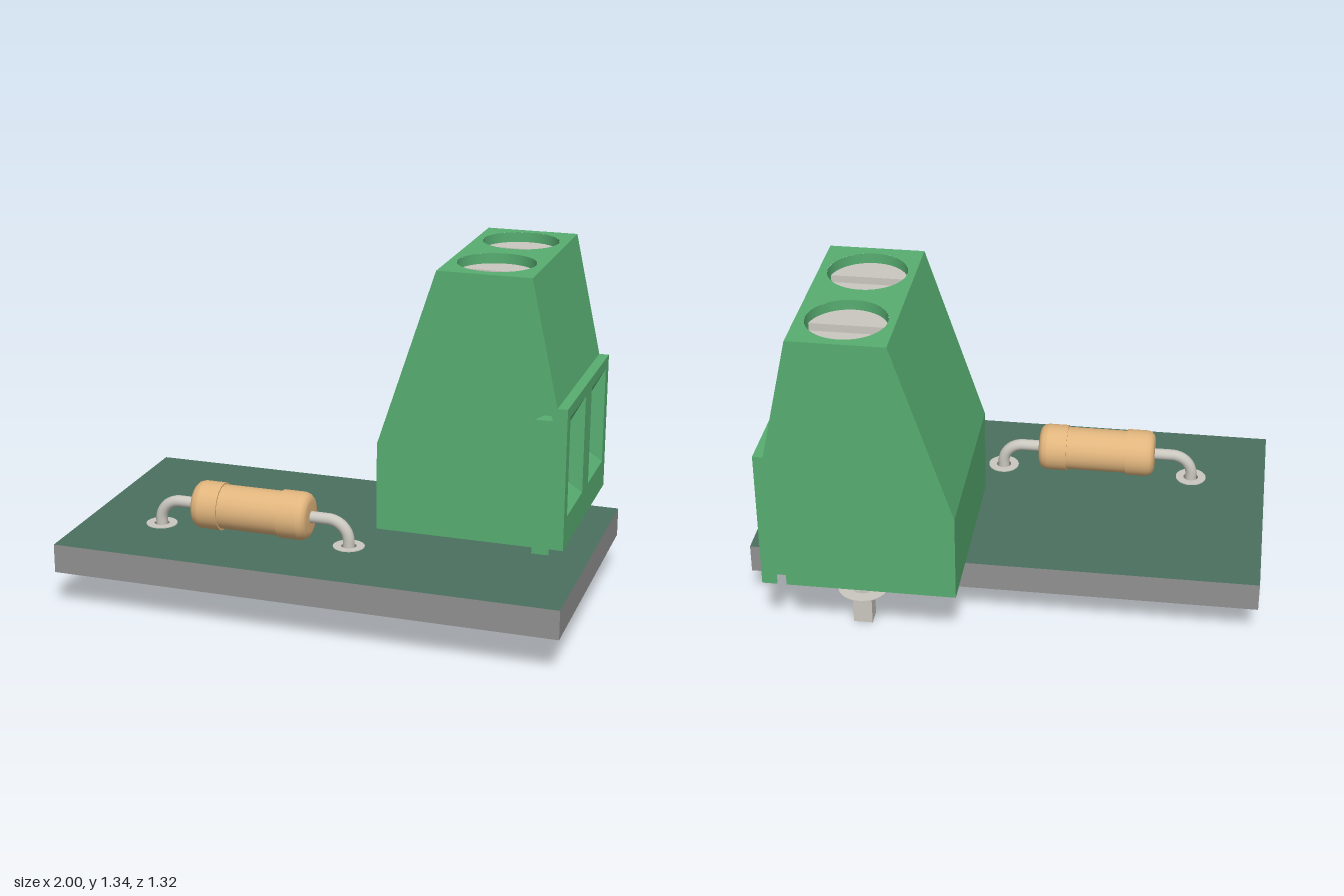
import * as THREE from 'three';

const mat = (name, color) => {
  const m = new THREE.MeshStandardMaterial({ color });
  m.name = name;
  return m;
};

export function createModel() {
  const model = new THREE.Group();
  const boardGreen = mat('board green', 0x4a7060);
  const boardGrey = mat('board edge grey', 0x909090);
  const green = mat('terminal green', 0x57ad71);
  const metal = mat('metal', 0xc9c7be);
  const tan = mat('resistor tan', 0xe1b57d);

  const add = (name, geometry, material, parent = model) => {
    const m = new THREE.Mesh(geometry, material);
    m.name = name;
    parent.add(m);
    return m;
  };
  const shapeOf = (pts, holes = []) => {
    const s = new THREE.Shape(pts.map(p => new THREE.Vector2(p[0], p[1])));
    s.holes.push(...holes);
    return s;
  };
  const rect = (u0, u1, v0, v1) => [[u0, v0], [u1, v0], [u1, v1], [u0, v1]];
  const circle = (u, v, r) => new THREE.Path().absarc(u, v, r, 0, Math.PI * 2, true);
  // Solid with a plan outline (u = x, v = -z), rising from y
  const slab = (shape, y, height) => new THREE.ExtrudeGeometry(shape,
    { depth: height, bevelEnabled: false, curveSegments: 32 }).rotateX(-Math.PI / 2).translate(0, y, 0);
  // Flat four-cornered faces
  const quads = list => {
    const g = new THREE.BufferGeometry();
    const v = list.flatMap(([a, b, c, d]) => [a, b, c, a, c, d].flat());
    g.setAttribute('position', new THREE.Float32BufferAttribute(v, 3));
    g.computeVertexNormals();
    return g;
  };
  // Round hole wall, facing its axis
  const holeWall = (r, y0, y1) => new THREE.LatheGeometry(
    [new THREE.Vector2(r, y1), new THREE.Vector2(r, y0)], 40);

  const resX = -0.3025, resZ = 0.315, resY = 0.368, leadX = 0.3925;
  const pinX = 0.54, pinZ = [-0.075, -0.465];

  // Circuit board
  const boardShape = shapeOf(rect(-1, 1, -0.66, 0.42), [
    circle(resX - leadX, -resZ, 0.03), circle(resX + leadX, -resZ, 0.03), circle(pinX, -pinZ[0], 0.05)]);
  add('board', slab(boardShape, 0.15, 0.115), [boardGreen, boardGrey]);
  add('outerHoleWall', holeWall(0.05, 0.15, 0.265), boardGrey).position.set(pinX, 0, pinZ[1]);

  // Solder pads on both faces of the board
  const pads = (x, z, r, hole, square) => {
    const s = square ? shapeOf(rect(x - r, x + r, -z - r, -z + r)) : new THREE.Shape().absarc(x, -z, r, 0, Math.PI * 2);
    s.holes.push(circle(x, -z, hole));
    add('topPad', slab(s, 0.265, 0.003), metal);
    add('bottomPad', slab(s, 0.147, 0.003), metal);
  };
  pads(pinX, pinZ[0], 0.1, 0.05, true);
  pads(pinX, pinZ[1], 0.1, 0.05, false);

  // Resistor body: thicker rounded ends around a slimmer middle
  const half = [[0, 0.24], [0.06, 0.24], [0.078, 0.235], [0.09, 0.223], [0.095, 0.205],
    [0.095, 0.205], [0.095, 0.123], [0.095, 0.123], [0.088, 0.123], [0.088, 0.123]];
  const profile = [...half.map(([r, t]) => [r, -t]), ...half.slice().reverse()];
  add('resistorBody', new THREE.LatheGeometry(profile.map(p => new THREE.Vector2(...p)), 40)
    .rotateZ(Math.PI / 2), tan).position.set(resX, resY, resZ);

  // Bent resistor leads
  for (const s of [-1, 1]) {
    const P = (d, y) => new THREE.Vector3(resX + s * d, y, resZ);
    const path = new THREE.CurvePath();
    path.add(new THREE.LineCurve3(P(leadX, 0.04), P(leadX, 0.285)));
    path.add(new THREE.CubicBezierCurve3(P(leadX, 0.285), P(leadX, 0.331), P(leadX - 0.037, resY), P(leadX - 0.083, resY)));
    path.add(new THREE.LineCurve3(P(leadX - 0.083, resY), P(0.22, resY)));
    add('resistorLead', new THREE.TubeGeometry(path, 48, 0.023, 16), metal);
    add('leadTip', new THREE.CircleGeometry(0.023, 16).rotateX(Math.PI / 2), metal)
      .position.set(resX + s * leadX, 0.04, resZ);
    pads(resX + s * leadX, resZ, 0.062, 0.03, false);
  }

  // Terminal block housing
  const block = new THREE.Group();
  block.name = 'terminalBlock';
  model.add(block);
  const y0 = 0.272, zB = -0.66, zF = 0.12, xR = 0.89, yT = 1.335;
  const outline = [[0.14, y0], [xR, y0], [xR, 0.84], [0.85, 0.84], [0.74, yT], [0.37, yT], [0.14, 0.625]];
  add('housingFront', new THREE.ShapeGeometry(shapeOf(outline)).translate(0, 0, zF), green, block);

  // Plain walls: every outline edge except bottom, wire side and top
  add('housingWalls', quads([2, 3, 5, 6].map(i => {
    const a = outline[i], b = outline[(i + 1) % 7];
    return [[...a, zF], [...a, zB], [...b, zB], [...b, zF]];
  })), green, block);

  // Back and bottom, notched by the dovetail groove
  const groove = [[0.795, zB], [0.775, -0.6], [0.85, -0.6], [0.83, zB]], gTop = 0.815;
  const notched = [outline[0], [0.795, y0], [0.795, gTop], [0.83, gTop], [0.83, y0], ...outline.slice(1)];
  add('housingBack', new THREE.ShapeGeometry(shapeOf(notched.map(([x, y]) => [-x, y])))
    .rotateY(Math.PI).translate(0, 0, zB), green, block);
  add('housingBottom', new THREE.ShapeGeometry(shapeOf([[0.14, zB], ...groove, [xR, zB], [xR, zF], [0.14, zF]]))
    .rotateX(Math.PI / 2).translate(0, y0, 0), green, block);
  const at = (p, y) => [p[0], y, p[1]];
  add('dovetailGroove', quads([
    ...[0, 1, 2].map(i => [at(groove[i], y0), at(groove[i], gTop), at(groove[i + 1], gTop), at(groove[i + 1], y0)]),
    [3, 2, 1, 0].map(i => at(groove[i], gTop)),
  ]), green, block);

  // Dovetail tab on the front
  add('dovetailTab', slab(shapeOf([[0.8, -zF], [0.78, -0.18], [0.847, -0.18], [0.827, -zF]]), y0, 0.81 - y0), green, block);

  // Wire side and top, with openings
  const centres = [-0.0725, -0.4645], screwX = 0.553, screwZ = [-0.08, -0.47], screwR = 0.153;
  const mouth = c => rect(-c - 0.14, -c + 0.14, 0.395, 0.795);
  const throat = c => rect(-c - 0.108, -c + 0.108, 0.456, 0.664);
  const pathOf = pts => new THREE.Path(pts.map(p => new THREE.Vector2(...p)));
  add('housingWireSide', new THREE.ShapeGeometry(shapeOf(rect(-zF, -zB, y0, 0.84), centres.map(c => pathOf(mouth(c)))))
    .rotateY(Math.PI / 2).translate(xR, 0, 0), green, block);
  add('housingTop', new THREE.ShapeGeometry(shapeOf(rect(0.37, 0.74, -zF, -zB), screwZ.map(z => circle(screwX, -z, screwR))), 32)
    .rotateX(-Math.PI / 2).translate(0, yT, 0), green, block);

  // Funnel openings with a metal clamp inside
  for (const c of centres) {
    const ring = (pts, x) => pts.map(([u, v]) => [x, v, -u]);
    const rings = [ring(mouth(c), xR), ring(throat(c), 0.82), ring(throat(c), 0.55)];
    const faces = [rings[2]];
    for (let i = 0; i < 2; i++) for (let j = 0; j < 4; j++) {
      const k = (j + 1) % 4;
      faces.push([rings[i][j], rings[i][k], rings[i + 1][k], rings[i + 1][j]]);
    }
    add('wireOpening', quads(faces), green, block);
    const clamp = shapeOf(rect(-c - 0.107, -c + 0.107, 0.457, 0.663), [pathOf(rect(-c - 0.098, -c + 0.098, 0.466, 0.654))]);
    add('wireClamp', new THREE.ExtrudeGeometry(clamp, { depth: 0.1, bevelEnabled: false })
      .rotateY(Math.PI / 2).translate(0.56, 0, 0), metal, block);
  }

  // Slotted screws sunk in the top
  const a = Math.asin(0.028 / screwR);
  for (const z of screwZ) {
    const screw = new THREE.Group();
    screw.name = 'screw';
    screw.position.set(screwX, 0, z);
    block.add(screw);
    add('screwRecess', holeWall(screwR, 1.22, yT), green, screw);
    add('screwBase', new THREE.CylinderGeometry(screwR, screwR, 0.03, 40).translate(0, 1.24, 0), metal, screw);
    for (const turn of [0, Math.PI]) {
      const seg = new THREE.Shape().absarc(0, 0, screwR - 0.001, a, Math.PI - a);
      add('screwHeadHalf', slab(seg, 1.255, 0.04), metal, screw).rotation.y = turn;
    }
  }

  // Terminal pins: round through the board, square below
  for (const z of pinZ) {
    add('pinNeck', new THREE.CylinderGeometry(0.033, 0.033, 0.13, 24), metal, block).position.set(pinX, 0.21, z);
    add('pin', new THREE.BoxGeometry(0.075, 0.15, 0.068), metal, block).position.set(pinX, 0.075, z);
  }
  return model;
}
